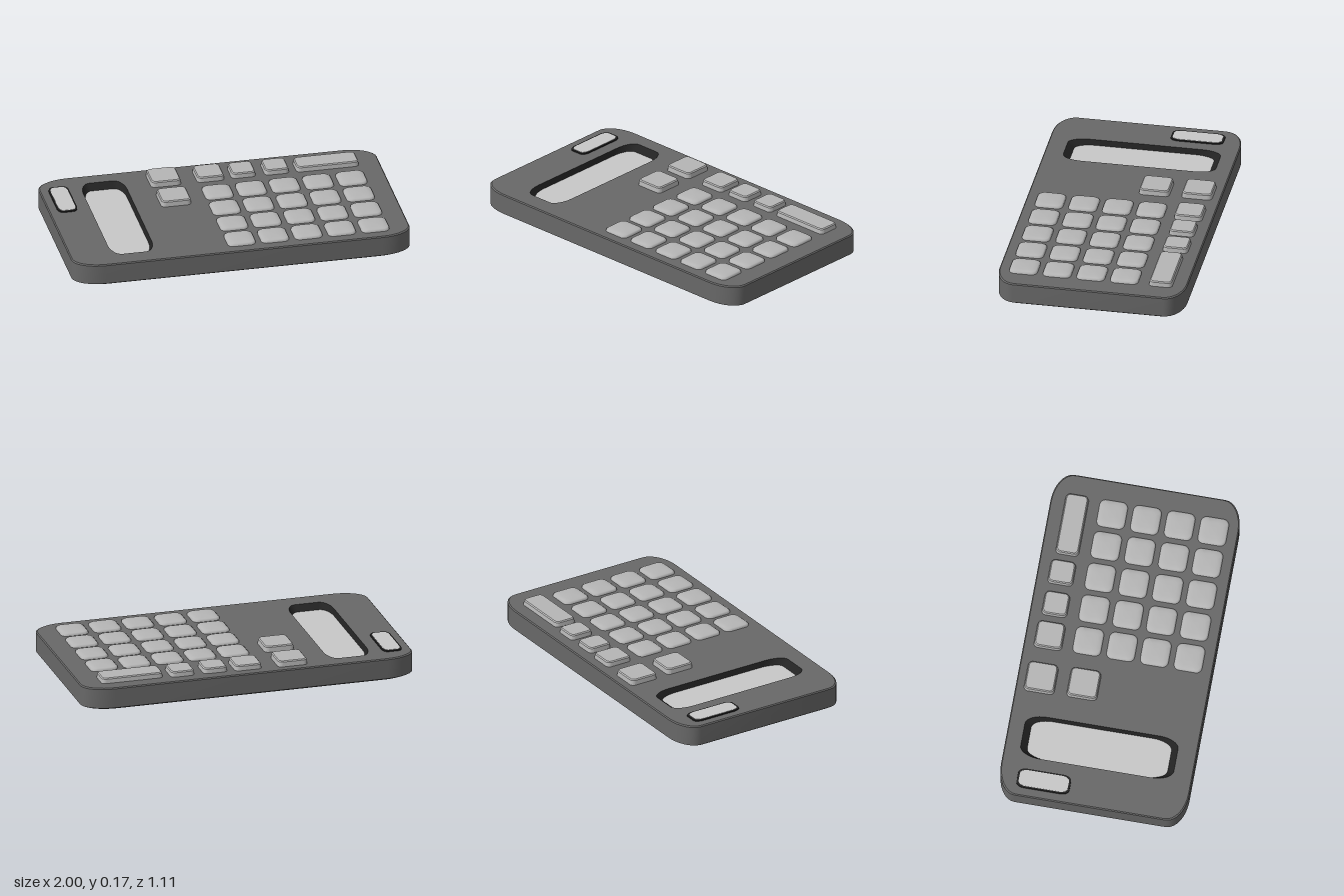
import * as THREE from 'three';
import { toCreasedNormals } from 'three/addons/utils/BufferGeometryUtils.js';

const mat = (name, color, side = THREE.FrontSide) => {
  const m = new THREE.MeshStandardMaterial({ color, side });
  m.name = name;
  return m;
};

// Rectangle with elliptical corners, as [x, z] points around the centre
function outline({ w, d, rx, rz }, steps = 8) {
  const pts = [];
  const corners = [[1, 1], [-1, 1], [-1, -1], [1, -1]];
  corners.forEach(([sx, sz], q) => {
    for (let i = 0; i <= steps; i++) {
      const a = (q + i / steps) * Math.PI / 2;
      pts.push([sx * (w - rx) + rx * Math.cos(a), sz * (d - rz) + rz * Math.sin(a)]);
    }
  });
  return pts;
}

// Skin stacked outlines from bottom to top; caps are fans to a centre point
function loft(rings, { bottom = false, top = false, peak = 0, crease = null } = {}) {
  const pos = [], index = [];
  let n = 0;
  rings.forEach((r) => {
    const pts = outline(r);
    n = pts.length;
    pts.forEach(([x, z]) => pos.push(x, r.y, z));
  });
  for (let k = 0; k < rings.length - 1; k++) {
    for (let i = 0; i < n; i++) {
      const a = k * n + i, b = k * n + (i + 1) % n;
      index.push(a, a + n, b, b, a + n, b + n);
    }
  }
  const cap = (start, y, up) => {
    const c = pos.length / 3;
    pos.push(0, y, 0);
    for (let i = 0; i < n; i++) {
      const a = start + i, b = start + (i + 1) % n;
      index.push(c, up ? b : a, up ? a : b);
    }
  };
  if (bottom) cap(0, rings[0].y, false);
  if (top) cap((rings.length - 1) * n, rings[rings.length - 1].y + peak, true);
  const g = new THREE.BufferGeometry();
  g.setAttribute('position', new THREE.Float32BufferAttribute(pos, 3));
  g.setIndex(index);
  g.computeVertexNormals();
  return crease === null ? g : toCreasedNormals(g, crease);
}

const ring = (y, w, d, rx, rz = rx) => ({ y, w, d, rx, rz });

export function createModel() {
  const model = new THREE.Group();
  const bodyMat = mat('dark grey case', 0x686868);
  const keyMat = mat('light grey keys', 0xb6b6b6);
  const glassMat = mat('pale grey panels', 0xc8c8c8);
  const frameMat = mat('black frames', 0x222222, THREE.DoubleSide);

  const add = (name, geo, material, x = 0, z = 0) => {
    const m = new THREE.Mesh(geo, material);
    m.name = name;
    m.position.set(x, 0, z);
    model.add(m);
  };

  // Case shell with softened lower and upper edges
  const topRing = ring(0.132, 0.994, 0.547, 0.18, 0.11);
  add('caseShell', loft([
    ring(0, 0.985, 0.538, 0.18, 0.11),
    ring(0.01, 1, 0.553, 0.18, 0.11),
    ring(0.126, 1, 0.553, 0.18, 0.11),
    topRing,
  ], { bottom: true, crease: 0.5 }), bodyMat);

  // Top face with an opening for the sunken display
  const px = -0.628, pz = -0.01;
  const mouth = ring(0.132, 0.13, 0.45, 0.06, 0.12);
  const face = new THREE.Shape(outline(topRing).map(([x, z]) => new THREE.Vector2(x, -z)));
  face.holes.push(new THREE.Path(
    outline(mouth).map(([x, z]) => new THREE.Vector2(x + px, -(z + pz)))));
  const faceGeo = new THREE.ShapeGeometry(face);
  faceGeo.rotateX(-Math.PI / 2);
  faceGeo.translate(0, 0.132, 0);
  add('caseTop', faceGeo, bodyMat);

  // Sunken display: sloping dark walls and pale floor
  const floor = ring(0.1, 0.12, 0.412, 0.055, 0.12);
  add('displayFrame', loft([floor, mouth]), frameMat, px, pz);
  add('displayPanel', loft([floor], { top: true }), glassMat, px, pz);

  // Small light cell with a thin raised rim
  add('cellFrame', loft([
    ring(0.13, 0.06, 0.156, 0.03, 0.05),
    ring(0.138, 0.059, 0.155, 0.03, 0.05),
  ], { top: true, crease: 0.5 }), frameMat, -0.89, -0.29);
  add('cellPanel', loft([
    ring(0.137, 0.05, 0.144, 0.026, 0.045),
    ring(0.14, 0.05, 0.144, 0.026, 0.045),
  ], { top: true, crease: 0.5 }), glassMat, -0.89, -0.29);

  // Flat-topped keys: name, centre x, centre z, half width, half depth, top
  [
    ['upperFunctionKey', -0.268, -0.415, 0.09, 0.09, 0.166],
    ['lowerFunctionKey', -0.262, -0.165, 0.09, 0.09, 0.166],
    ['topRowKey1', -0.003, -0.412, 0.082, 0.083, 0.163],
    ['topRowKey2', 0.193, -0.41, 0.073, 0.075, 0.163],
    ['topRowKey3', 0.39, -0.41, 0.073, 0.075, 0.163],
    ['wideKey', 0.69, -0.402, 0.186, 0.069, 0.163],
  ].forEach(([name, x, z, w, d, h]) => {
    add(name, loft([
      ring(0.128, w, d, 0.026),
      ring(h - 0.006, w - 0.004, d - 0.004, 0.026),
      ring(h, w - 0.01, d - 0.01, 0.022),
    ], { top: true, crease: 0.5 }), keyMat, x, z);
  });

  // Grid of softly domed keys
  const domed = loft([
    ring(0.128, 0.083, 0.083, 0.035),
    ring(0.14, 0.082, 0.082, 0.035),
    ring(0.147, 0.074, 0.074, 0.033),
    ring(0.15, 0.05, 0.05, 0.025),
  ], { top: true, peak: 0.002 });
  for (let row = 0; row < 4; row++) {
    for (let col = 0; col < 5; col++) {
      add(`gridKey${row + 1}_${col + 1}`, domed, keyMat, 0.003 + col * 0.198, -0.186 + row * 0.198);
    }
  }
  return model;
}
